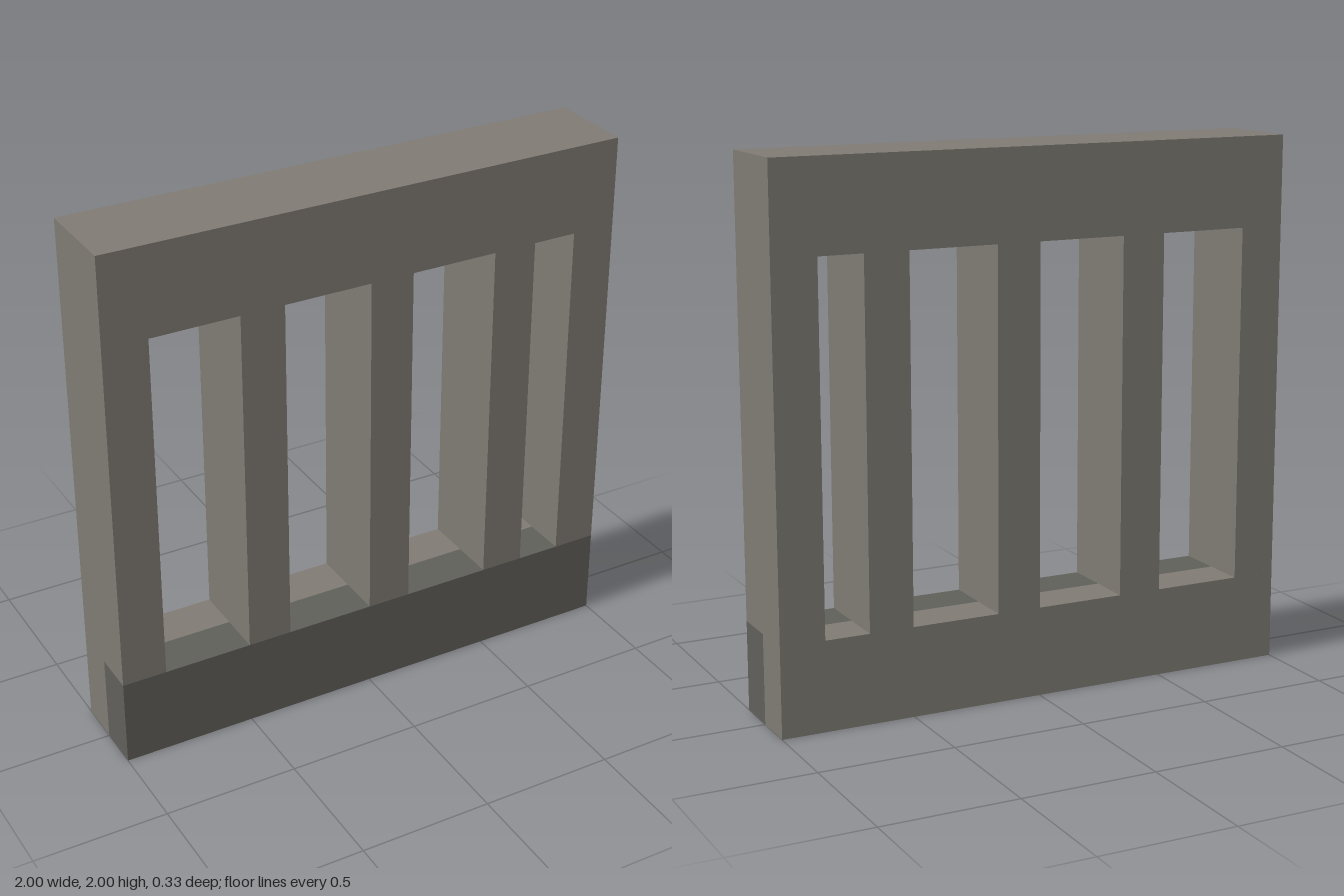
import * as THREE from 'three';

const U = 1 / 6;          // grid step: the panel is 12 x 12 x 2 steps
const DEPTH = 2 * U;

export function createModel() {
  const group = new THREE.Group();
  group.name = 'barredPanel';
  const stone = new THREE.MeshStandardMaterial({ color: 0x7f7b74 });
  const darkStone = new THREE.MeshStandardMaterial({ color: 0x605f5a });

  function add(name, geometry, material, x, y, z) {
    const mesh = new THREE.Mesh(geometry, material);
    mesh.name = name;
    mesh.position.set(x, y, z);
    group.add(mesh);
  }

  // Top beam and the five upright bars as one comb-shaped slab
  const openings = [[-5, -3], [-2, 0], [1, 3], [4, 5]];
  const comb = new THREE.Shape();
  comb.moveTo(-6 * U, 2 * U);
  for (const [left, right] of openings) {
    comb.lineTo(left * U, 2 * U);
    comb.lineTo(left * U, 10 * U);
    comb.lineTo(right * U, 10 * U);
    comb.lineTo(right * U, 2 * U);
  }
  comb.lineTo(6 * U, 2 * U);
  comb.lineTo(6 * U, 12 * U);
  comb.lineTo(-6 * U, 12 * U);
  comb.closePath();
  const slab = new THREE.ExtrudeGeometry(comb, { depth: DEPTH, bevelEnabled: false });
  add('barsAndTopBeam', slab, stone, 0, 0, -DEPTH / 2);

  // Bottom rail: pale back half, dark front half
  const rail = new THREE.BoxGeometry(12 * U, 2 * U, U);
  add('backBottomRail', rail, stone, 0, U, -U / 2);
  add('frontBottomRail', rail, darkStone, 0, U, U / 2);

  return group;
}
